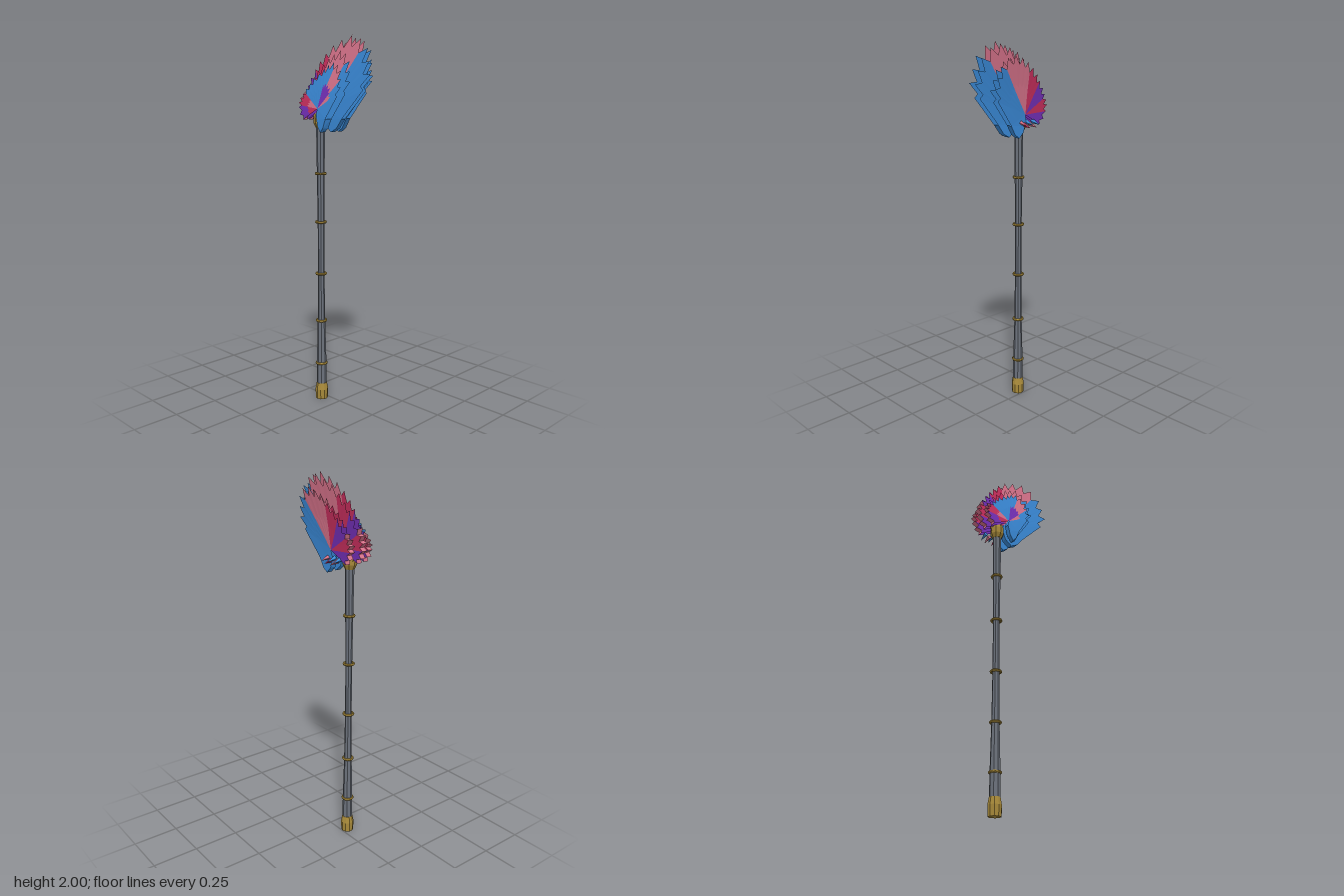
import * as THREE from 'three';

const BLUE = 0x3a8ad8, PINK = 0xd9748c, CRIMSON = 0xc92f5e, PURPLE = 0x7430b8;
const GOLD = 0xa88a3a, STEEL = 0x6c727c;
const AX = -0.11, AZ = 0.035; // axis of the staff
const PX = -0.07, PY = 1.63; // root of the feather fans

const mat = (color) => new THREE.MeshStandardMaterial({ color, flatShading: true, side: THREE.DoubleSide });

function add(parent, name, geometry, color, x = 0, y = 0, z = 0) {
  const mesh = new THREE.Mesh(geometry, mat(color));
  mesh.name = name;
  mesh.position.set(x, y, z);
  parent.add(mesh);
  return mesh;
}

const lathe = (points, sides) => new THREE.LatheGeometry(points.map(([r, y]) => new THREE.Vector2(r, y)), sides);

// Smooth lower lobe, then feather tips from the right over the top to the left
const LOBE = [[-0.08, 1.6], [-0.06, 1.54], [-0.02, 1.51], [0.02, 1.53], [0.06, 1.58]];
const TIPS = [[0.2, 1.725], [0.24, 1.8], [0.225, 1.865], [0.21, 1.93], [0.155, 1.98], [0.09, 2.0],
  [0.02, 1.98], [-0.04, 1.955], [-0.09, 1.915], [-0.13, 1.875], [-0.16, 1.835], [-0.19, 1.79],
  [-0.21, 1.75], [-0.23, 1.715], [-0.24, 1.68], [-0.235, 1.64], [-0.22, 1.6], [-0.19, 1.572]];

// Rim of one fan, with a notch between neighbouring tips
function rimPoints({ right, up, left }) {
  const rim = LOBE.map((p) => [...p]);
  TIPS.forEach(([x, y], i) => {
    rim.push([x, y]);
    const next = TIPS[i + 1];
    if (!next) return;
    const k = 0.86;
    rim.push([PX + ((x + next[0]) / 2 - PX) * k, PY + ((y + next[1]) / 2 - PY) * k]);
  });
  return rim.map(([x, y]) => [
    PX + (x - PX) * (x > PX ? right : left),
    PY + (y - PY) * (y > PY ? up : 1),
  ]);
}

// Colour of the rim segment i; the front fan has a patchwork near its root
function segmentColor(i, inner, patched) {
  if (patched) {
    if (i < 6) return BLUE;
    if (i < 9) return inner ? PINK : BLUE;
    if (i < 14) return inner ? PURPLE : PINK;
    if (i < 17) return inner ? PURPLE : BLUE;
    if (i < 28) return BLUE;
    if (i < 34) return inner ? PINK : CRIMSON;
    return inner ? CRIMSON : PURPLE;
  }
  if (i < 12) return BLUE;
  if (i < 20) return PINK;
  if (i < 25) return CRIMSON;
  if (i < 30) return PURPLE;
  if (i < 35) return CRIMSON;
  return PURPLE;
}

// Each fan sweeps backward as it rises
function bend(x, y, fan) {
  const u = Math.max(0, (y - 1.57) / (PY + 0.37 * fan.up - 1.57));
  return [x, y, fan.z - fan.drop * Math.pow(u, 1.4)];
}

function facetGroup(name, buckets) {
  const group = new THREE.Group();
  group.name = name;
  for (const [color, positions] of buckets) {
    const geometry = new THREE.BufferGeometry();
    geometry.setAttribute('position', new THREE.Float32BufferAttribute(positions, 3));
    geometry.computeVertexNormals();
    add(group, name + 'Facets', geometry, color);
  }
  return group;
}

function push(buckets, color, ...corners) {
  if (!buckets.has(color)) buckets.set(color, []);
  corners.forEach((c) => buckets.get(color).push(...c));
}

function featherFan(fan) {
  const buckets = new Map();
  const rim = rimPoints(fan);
  const at = (i, t) => bend(PX + (rim[i][0] - PX) * t, PY + (rim[i][1] - PY) * t, fan);
  const root = bend(PX, PY, fan);
  for (let i = 0; i < rim.length - 1; i++) {
    const a = at(i, 0.55), b = at(i + 1, 0.55), c = at(i, 1), d = at(i + 1, 1);
    push(buckets, segmentColor(i, true, fan.patched), root, a, b);
    push(buckets, segmentColor(i, false, fan.patched), a, c, d, a, d, b);
  }
  return facetGroup('featherFan', buckets);
}

// Wall that closes a pair of fans along their lower lobe and left end
function fanEdge(front, back) {
  const buckets = new Map();
  const f = rimPoints(front).map(([x, y]) => bend(x, y, front));
  const b = rimPoints(back).map(([x, y]) => bend(x, y, back));
  for (let i = 0; i < f.length - 1; i++) {
    if (i >= LOBE.length - 1 && i < 29) continue;
    const color = i < LOBE.length ? BLUE : PINK;
    push(buckets, color, f[i], b[i], b[i + 1], f[i], b[i + 1], f[i + 1]);
  }
  return facetGroup('fanEdge', buckets);
}

export function createModel() {
  const model = new THREE.Group();
  model.name = 'featheredStaff';

  // Staff
  const staff = new THREE.Group();
  staff.name = 'staff';
  staff.position.set(AX, 0, AZ);
  model.add(staff);
  add(staff, 'shaft', lathe([[0.028, 0.08], [0.027, 0.21], [0.021, 0.46], [0.018, 0.73],
    [0.018, 1.02], [0.021, 1.285], [0.024, 1.56]], 8), STEEL);
  add(staff, 'buttCap', lathe([[0, 0], [0.034, 0], [0.036, 0.055], [0.029, 0.092], [0, 0.092]], 10), GOLD);
  for (const y of [0.21, 0.46, 0.73, 1.02, 1.285]) {
    const r = y < 0.3 ? 0.028 : 0.026;
    add(staff, 'ringBand', new THREE.TorusGeometry(r, 0.007, 6, 12).rotateX(Math.PI / 2), GOLD, 0, y, 0);
  }

  // Gold socket with a claw on each side
  add(staff, 'socket', lathe([[0, 1.53], [0.025, 1.53], [0.037, 1.555], [0.038, 1.59],
    [0.026, 1.62], [0.012, 1.66], [0, 1.66]], 8), GOLD);
  for (const side of [-1, 1]) {
    const claw = add(staff, 'socketClaw', new THREE.ConeGeometry(0.016, 0.07, 5), GOLD, side * 0.036, 1.592, 0);
    claw.rotation.z = -side * 0.5;
  }

  // Three crests, each a pair of feather fans
  const crests = [
    [{ z: 0.1, drop: 0.05, right: 0.5, up: 0.64, left: 0.88, patched: true },
      { z: 0.07, drop: 0.05, right: 0.62, up: 0.8, left: 0.88 }],
    [{ z: 0.045, drop: 0.045, right: 1, up: 1, left: 1 },
      { z: 0.015, drop: 0.048, right: 0.97, up: 0.97, left: 1 }],
    [{ z: -0.02, drop: 0.052, right: 0.76, up: 0.78, left: 0.92 },
      { z: -0.05, drop: 0.055, right: 0.75, up: 0.83, left: 0.92 }],
  ];
  for (const [front, back] of crests) {
    const crest = new THREE.Group();
    crest.name = 'crest';
    crest.add(featherFan(front), featherFan(back), fanEdge(front, back));
    model.add(crest);
  }

  // Short tuft behind the root
  const tuft = new THREE.Group();
  tuft.name = 'rearTuft';
  model.add(tuft);
  [BLUE, PINK, BLUE, CRIMSON, PINK].forEach((color, i) => {
    const quill = add(tuft, 'tuftQuill', new THREE.ConeGeometry(0.014, 0.055, 4), color,
      -0.135 + i * 0.023, 1.585 - (i % 2) * 0.012, -0.068);
    quill.rotation.x = -Math.PI / 2 - 0.3;
  });
  return model;
}
